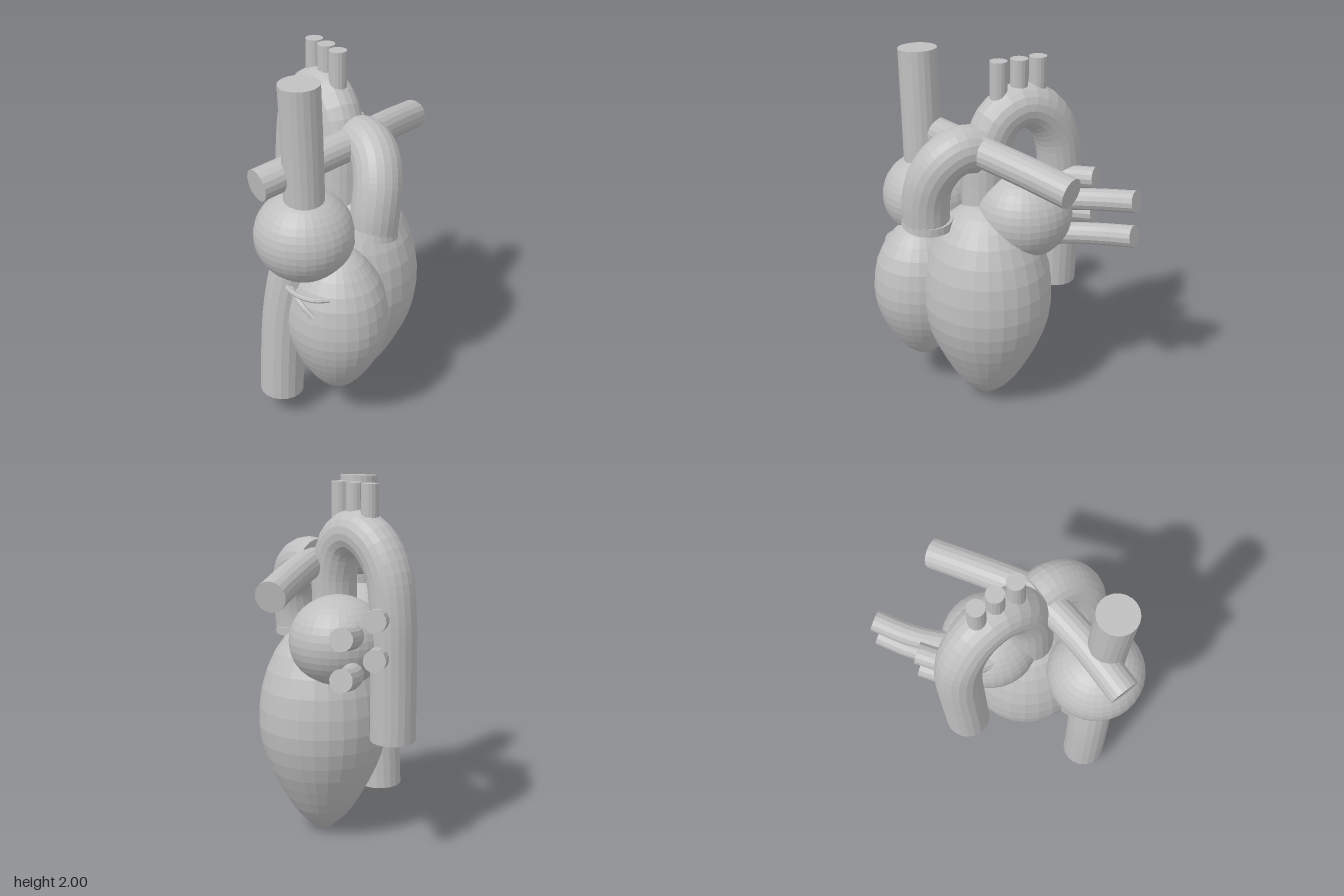
import * as THREE from 'three';

const V = (p) => new THREE.Vector3(...p);

export function createModel() {
  const model = new THREE.Group();
  const tissue = new THREE.MeshStandardMaterial({ color: 0xbfbfbf, flatShading: true });
  tissue.name = 'paleGrey';

  const add = (name, geometry, parent = model) => {
    const mesh = new THREE.Mesh(geometry, tissue);
    mesh.name = name;
    parent.add(mesh);
    return mesh;
  };

  // Vessel: a tube along a smooth path, closed with a flat disc at each end
  const vessel = (name, points, radius, sides = 18, steps = 20) => {
    const group = new THREE.Group();
    group.name = name;
    const curve = new THREE.CatmullRomCurve3(points.map(V));
    const tube = new THREE.TubeGeometry(curve, steps, radius, sides, false);
    add(name + 'Wall', tube, group);
    for (const [end, sign] of [[0, -1], [steps, 1]]) {
      const cap = add(name + 'End', new THREE.CircleGeometry(radius, sides), group);
      cap.applyMatrix4(new THREE.Matrix4().makeBasis(
        tube.normals[end],
        tube.binormals[end].clone().multiplyScalar(sign),
        tube.tangents[end].clone().multiplyScalar(sign),
      ).setPosition(curve.getPointAt(end / steps)));
    }
    model.add(group);
    return group;
  };

  // Ventricle: an egg-shaped lathe, profile points are [radius, height]
  const ventricle = (name, profile, x, z, depthScale) => {
    const spline = new THREE.SplineCurve(profile.map((p) => new THREE.Vector2(...p)));
    const points = spline.getPoints(20);
    points.forEach((p) => { p.x = Math.max(p.x, 0); });
    const mesh = add(name, new THREE.LatheGeometry(points, 28));
    mesh.position.set(x, 0, z);
    mesh.scale.z = depthScale;
  };
  ventricle('leftVentricle', [[0, 0.005], [0.04, 0.02], [0.15, 0.125], [0.245, 0.28], [0.325, 0.46],
    [0.362, 0.66], [0.335, 0.9], [0.24, 1.11], [0.11, 1.215], [0, 1.24]], 0.06, -0.04, 1.02);
  ventricle('rightVentricle', [[0, 0.19], [0.04, 0.2], [0.13, 0.275], [0.215, 0.4], [0.27, 0.53],
    [0.288, 0.67], [0.255, 0.85], [0.165, 0.99], [0.08, 1.05], [0, 1.067]], 0.25, 0.31, 0.93);

  // Atria
  for (const [name, x, y, z] of [['rightAtrium', 0.113, 1.147, 0.41], ['leftAtrium', -0.11, 1.16, -0.15]]) {
    const atrium = add(name, new THREE.SphereGeometry(0.268, 32, 20));
    atrium.position.set(x, y, z);
    atrium.scale.y = 0.93;
  }

  // Aorta: ascending part, arch and descending part
  vessel('aorta', [[0.03, 1.08, 0.02], [0.025, 1.3, 0.02], [0.015, 1.52, 0.01], [-0.045, 1.68, -0.015],
    [-0.16, 1.742, -0.05], [-0.285, 1.695, -0.08], [-0.38, 1.56, -0.095], [-0.417, 1.36, -0.1],
    [-0.42, 1.0, -0.09], [-0.415, 0.635, -0.08]], 0.125, 20, 40);

  // Three branches on top of the arch
  [[-0.26, -0.08], [-0.15, -0.055], [-0.037, -0.02]].forEach(([x, z], i) => {
    const branch = add('archBranch' + (i + 1), new THREE.CylinderGeometry(0.048, 0.048, 0.26, 16));
    branch.position.set(x, 1.87, z);
  });

  // Great veins
  vessel('superiorVenaCava', [[0.137, 1.28, 0.43], [0.137, 1.64, 0.44], [0.137, 2.0, 0.455]], 0.108, 20, 4);
  vessel('inferiorVenaCava', [[-0.01, 0.14, 0.485], [0.0, 0.4, 0.482], [0.02, 0.7, 0.47],
    [0.055, 0.92, 0.45], [0.09, 1.05, 0.43]], 0.121, 18, 16);

  // Pulmonary trunk with a collar at its root
  vessel('pulmonaryTrunk', [[0.345, 1.14, 0.13], [0.352, 1.27, 0.12], [0.34, 1.4, 0.09],
    [0.285, 1.505, 0.045], [0.2, 1.555, 0.01], [0.12, 1.55, -0.01]], 0.13, 20, 24);
  const collar = add('trunkCollar', new THREE.CylinderGeometry(0.138, 0.145, 0.045, 24));
  collar.position.set(0.335, 1.148, 0.13);
  collar.rotation.set(-0.13, 0, -0.05);

  // Pulmonary arteries to the front and to the back
  vessel('frontPulmonaryArtery', [[0.135, 1.55, 0.0], [0.12, 1.545, 0.12], [0.085, 1.525, 0.34],
    [0.015, 1.483, 0.645]], 0.086, 18, 12);
  vessel('backPulmonaryArtery', [[0.135, 1.555, 0.0], [0.115, 1.545, -0.12], [0.06, 1.51, -0.35],
    [-0.008, 1.458, -0.622]], 0.084, 18, 12);

  // Pulmonary veins: a long and a short one at two levels
  for (const [level, drop] of [['upper', 0], ['lower', 0.205]]) {
    vessel(level + 'LongVein', [[-0.2, 1.22 - drop, -0.2], [-0.3, 1.24 - drop, -0.31],
      [-0.39, 1.265 - drop, -0.47], [-0.455, 1.3 - drop, -0.66]], 0.06, 14, 12);
    vessel(level + 'ShortVein', [[-0.17, 1.28 - drop, -0.02], [-0.29, 1.295 - drop, -0.08],
      [-0.39, 1.315 - drop, -0.2], [-0.457, 1.335 - drop, -0.35]], 0.06, 14, 12);
  }

  // Coronary vessels on the front of the right ventricle
  vessel('coronaryArtery', [[0.06, 0.885, 0.47], [0.12, 0.885, 0.55], [0.22, 0.885, 0.572],
    [0.31, 0.885, 0.55], [0.365, 0.885, 0.495]], 0.014, 8, 20);
  vessel('coronaryBranch', [[0.11, 0.885, 0.53], [0.19, 0.868, 0.565], [0.255, 0.83, 0.572],
    [0.31, 0.785, 0.56]], 0.016, 8, 14);

  return model;
}
